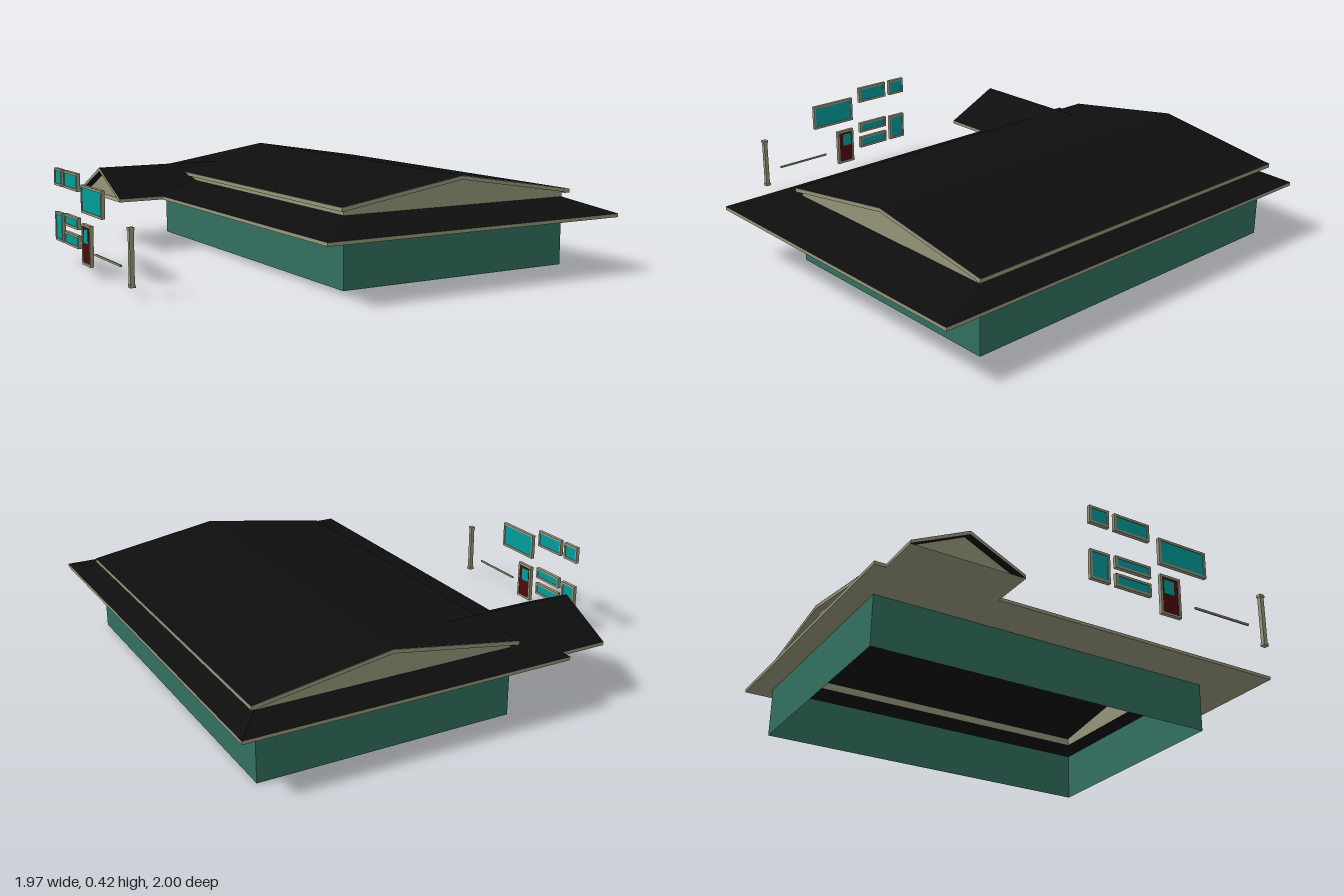
import * as THREE from 'three';

const mat = (color) => new THREE.MeshStandardMaterial({ color, side: THREE.DoubleSide, flatShading: true });

export function createModel() {
  const root = new THREE.Group();
  const roofMat = mat(0x0e0e0e), trimMat = mat(0x96967a), wallMat = mat(0x32705f);
  const glassMat = mat(0x009c9c), doorMat = mat(0x4c0a0a);

  const add = (name, geo, material, parent = root) => {
    const m = new THREE.Mesh(geo, material);
    m.name = name;
    parent.add(m);
    return m;
  };
  const box = (name, material, x0, x1, y0, y1, z0, z1, parent) => {
    const g = new THREE.BoxGeometry(x1 - x0, y1 - y0, z1 - z0);
    g.translate((x0 + x1) / 2, (y0 + y1) / 2, (z0 + z1) / 2);
    return add(name, g, material, parent);
  };
  // Convex outlines, each fanned into triangles
  const faces = (name, material, polys) => {
    const pos = [];
    for (const p of polys)
      for (let i = 1; i < p.length - 1; i++) pos.push(...p[0], ...p[i], ...p[i + 1]);
    const g = new THREE.BufferGeometry();
    g.setAttribute('position', new THREE.Float32BufferAttribute(pos, 3));
    g.computeVertexNormals();
    return add(name, g, material);
  };
  // Rectangle corners at height y, and the four-sided band between two of them
  const loop = ([x0, x1, z0, z1], y) => [[x0, y, z1], [x1, y, z1], [x1, y, z0], [x0, y, z0]];
  const band = (lo, hi) => lo.map((p, i) => [p, lo[(i + 1) % 4], hi[(i + 1) % 4], hi[i]]);

  const house = [-0.22, 0.885, -0.9, 0.76];
  const eave = [-0.44, 0.98, -1, 1];
  const [hx0, hx1, hz0, hz1] = house;

  // Walls, skirt roof and its trim
  faces('walls', wallMat, band(loop(house, 0), loop(house, 0.23)));
  faces('skirtRoof', roofMat, band(loop(eave, 0.245), loop(house, 0.295)));
  faces('skirtFascia', trimMat, band(loop(eave, 0.23), loop(eave, 0.245)));
  faces('skirtSoffit', trimMat, band(loop(eave, 0.23), loop(house, 0.23)));

  // Upper gable roof
  const ux0 = -0.24, ux1 = 0.91, uz0 = -0.93, uz1 = 0.78, rx = 0.335, ey = 0.33, ry = 0.42, t = 0.017;
  faces('upperRoof', roofMat, [
    [[ux0, ey, uz1], [rx, ry, uz1], [rx, ry, uz0], [ux0, ey, uz0]],
    [[rx, ry, uz1], [ux1, ey, uz1], [ux1, ey, uz0], [rx, ry, uz0]],
  ]);
  for (const z of [hz0, hz1]) {
    faces('gableWall', trimMat, [[[hx0, 0.295, z], [hx1, 0.295, z], [hx1, 0.331, z], [rx, ry - 0.003, z], [hx0, 0.331, z]]]);
  }
  for (const x of [hx0, hx1]) {
    faces('upperSideWall', trimMat, [[[x, 0.295, hz0], [x, 0.295, hz1], [x, 0.331, hz1], [x, 0.331, hz0]]]);
  }
  // Rake boards and eave boards fill the overhang
  for (const [z0, z1] of [[uz0, hz0], [hz1, uz1]]) {
    const s = new THREE.Shape([[ux0, ey - t], [rx, ry - t], [ux1, ey - t], [ux1, ey - 0.001], [rx, ry - 0.001], [ux0, ey - 0.001]]
      .map((p) => new THREE.Vector2(...p)));
    const g = new THREE.ExtrudeGeometry(s, { depth: z1 - z0, bevelEnabled: false });
    g.translate(0, 0, z0);
    add('rakeBoard', g, trimMat);
  }
  box('eaveBoard', trimMat, ux0, hx0, ey - t, ey - 0.001, uz0, uz1);
  box('eaveBoard', trimMat, hx1, ux1, ey - t, ey - 0.001, uz0, uz1);

  // Side wing roof, cut along its valleys with the main roof
  const wx = -0.65, wz = -0.7, wy = 0.365, half = 0.25;
  for (const s of [-1, 1]) {
    const z = (d) => wz + s * d;
    faces('wingRoof', roofMat, [[
      [wx, wy, wz], [wx, 0.245, z(half)], [-0.44, 0.245, z(half)],
      [-0.22, 0.295, z(0.146)], [-0.24, 0.33, z(0.073)], [-0.03, wy, wz],
    ]]);
    faces('wingFascia', trimMat, [
      [[wx, 0.23, z(half)], [-0.44, 0.23, z(half)], [-0.44, 0.245, z(half)], [wx, 0.245, z(half)]],
      [[wx, 0.23, z(half)], [wx, 0.245, z(half)], [wx, wy, wz], [wx, wy - 0.017, wz]],
    ]);
  }
  const gx = -0.6;
  faces('wingGable', trimMat, [[[gx, 0.23, wz - half], [gx, 0.23, wz + half], [gx, 0.243, wz + half], [gx, wy - 0.002, wz], [gx, 0.243, wz - half]]]);
  faces('wingSoffit', trimMat, [[[wx, 0.23, wz - half], [-0.44, 0.23, wz - half], [-0.44, 0.23, wz + half], [wx, 0.23, wz + half]]]);

  // Loose fittings standing beside the house: framed panes facing sideways
  const framed = (name, z0, z1, y0, y1, b = 0.01) => {
    const grp = new THREE.Group();
    grp.name = name;
    root.add(grp);
    const rect = (C, u0, u1, v0, v1) => new C([[u0, v0], [u1, v0], [u1, v1], [u0, v1]].map((p) => new THREE.Vector2(...p)));
    const s = rect(THREE.Shape, z0, z1, y0, y1);
    s.holes.push(rect(THREE.Path, z0 + b, z1 - b, y0 + b, y1 - b));
    const g = new THREE.ExtrudeGeometry(s, { depth: 0.016, bevelEnabled: false });
    g.rotateY(-Math.PI / 2);
    g.translate(-0.964, 0, 0);
    add('frame', g, trimMat, grp);
    return grp;
  };
  const windows = [
    [-0.05, 0.18, 0.26, 0.375], [-0.26, -0.095, 0.34, 0.415], [-0.375, -0.285, 0.34, 0.415],
    [-0.26, -0.095, 0.18, 0.23], [-0.26, -0.095, 0.1, 0.155], [-0.375, -0.285, 0.1, 0.225],
  ];
  for (const [z0, z1, y0, y1] of windows) {
    const w = framed('window', z0, z1, y0, y1);
    box('glass', glassMat, -0.977, -0.967, y0 + 0.008, y1 - 0.008, z0 + 0.008, z1 - 0.008, w);
  }
  const door = framed('door', -0.05, 0.045, 0.045, 0.215);
  box('doorPanel', doorMat, -0.976, -0.966, 0.045, 0.207, -0.042, 0.037, door);
  box('doorGlass', glassMat, -0.978, -0.964, 0.135, 0.195, -0.033, 0.015, door);

  // Porch post with base and cap, and a thin rail
  const post = new THREE.Group();
  post.name = 'post';
  root.add(post);
  box('shaft', trimMat, -0.983, -0.965, 0.05, 0.27, 0.456, 0.474, post);
  for (const y of [0.04, 0.258]) box('postCollar', trimMat, -0.985, -0.963, y, y + 0.012, 0.453, 0.477, post);
  box('rail', trimMat, -0.985, -0.978, 0.105, 0.113, 0.11, 0.38);

  return root;
}
